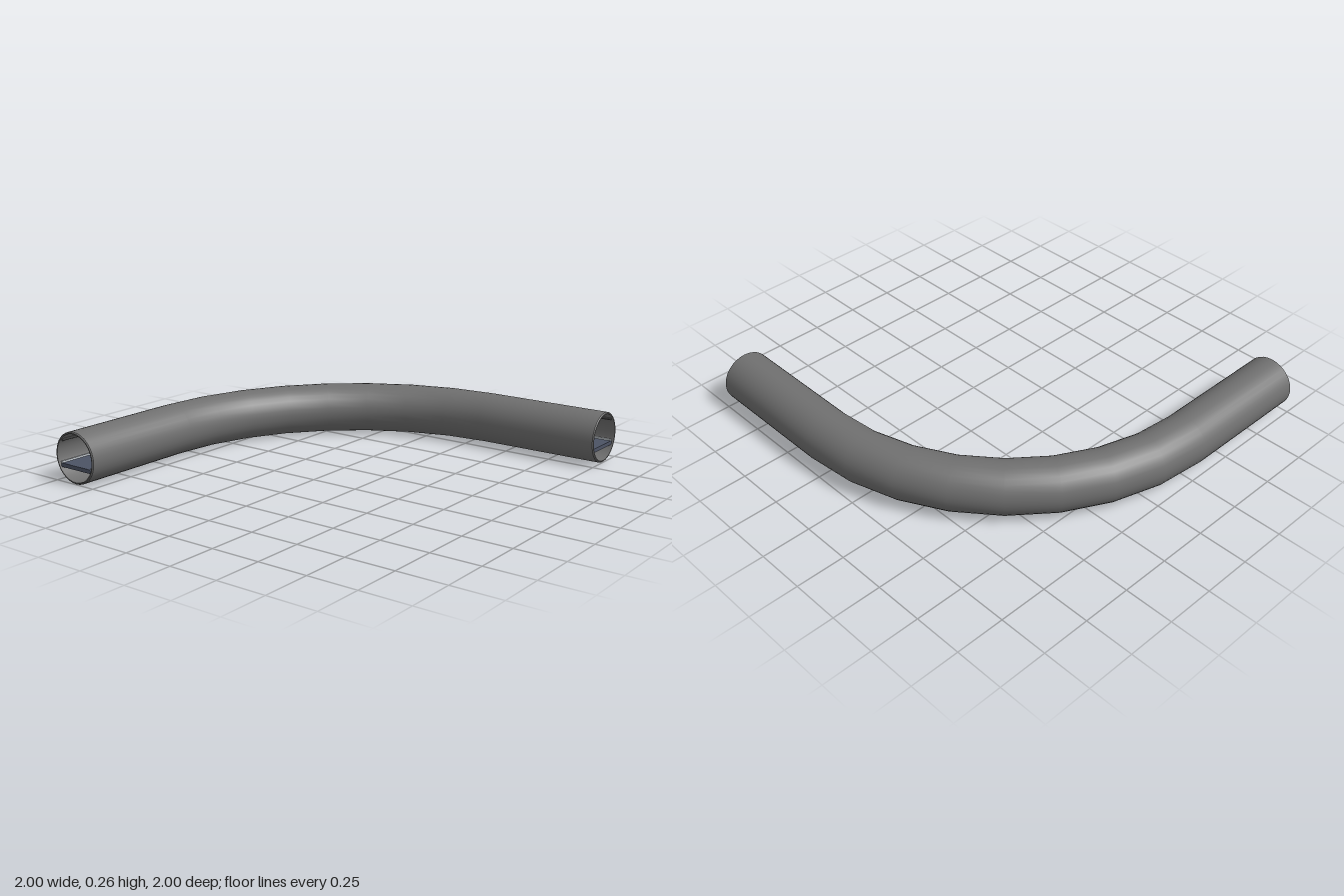
import * as THREE from 'three';
import { toCreasedNormals } from 'three/addons/utils/BufferGeometryUtils.js';

const R = 0.131, INNER = 0.121, MID_Y = 0.132;
const BEND = 0.33;                 // x and z of the bend centre
const BEND_R = BEND + 1 - R;       // centreline radius
const STEPS = 8, SIDES = 32;

// A station is { angle, ahead }: bend angle plus a straight run before (-) or after (+) it.
function stations(inset = 0) {
  const run = 1 - BEND - inset;
  const list = [{ angle: 0, ahead: -run }];
  for (let i = 0; i <= STEPS; i++) list.push({ angle: (i / STEPS) * Math.PI / 2, ahead: 0 });
  list.push({ angle: Math.PI / 2, ahead: run });
  return list;
}

// u is the sideways offset, positive to the outside of the bend
function place({ angle, ahead }, u, y) {
  const c = Math.cos(angle), s = Math.sin(angle), r = BEND_R + u;
  return [BEND - r * c + ahead * s, y, BEND - r * s - ahead * c];
}

const circle = (r, n, u = 0, y = MID_Y) => Array.from({ length: n }, (_, i) => {
  const a = (i / n) * Math.PI * 2;
  return [u + r * Math.cos(a), y + r * Math.sin(a)];
});
const rect = (u0, u1, y0, y1) => [[u0, y0], [u1, y0], [u1, y1], [u0, y1]];

// Skins rows of matching points; rows either close on themselves or get end caps
function skin(rows, closed) {
  const n = rows[0].length, m = rows.length, index = [];
  for (let i = 0; i < (closed ? m : m - 1); i++) {
    for (let j = 0; j < n; j++) {
      const k = (j + 1) % n, h = (i + 1) % m;
      const a = i * n + j, b = i * n + k, c = h * n + k, d = h * n + j;
      index.push(a, b, c, a, c, d);
    }
  }
  if (!closed) {
    const e = (m - 1) * n;
    for (let j = 1; j < n - 1; j++) index.push(0, j + 1, j, e, e + j, e + j + 1);
  }
  const g = new THREE.BufferGeometry();
  g.setAttribute('position', new THREE.Float32BufferAttribute(rows.flat(2), 3));
  g.setIndex(index);
  return toCreasedNormals(g, 0.6);
}

const row = (st, profile) => profile.map(([u, y]) => place(st, u, y));
const sweep = (profile, inset) => skin(stations(inset).map(st => row(st, profile)), false);

// Hollow ring or pipe: outer skin forwards, inner skin backwards
function hollow(list, outer, inner, bevel = 0) {
  const last = list.length - 1;
  const out = list.map(st => row(st, circle(outer, SIDES)));
  const back = list.map(st => row(st, circle(inner, SIDES))).reverse();
  if (bevel) {
    const lip = circle(outer - bevel, SIDES);
    const shift = (st, d) => ({ angle: st.angle, ahead: st.ahead + d });
    out[0] = row(shift(list[0], bevel), circle(outer, SIDES));
    out[last] = row(shift(list[last], -bevel), circle(outer, SIDES));
    out.unshift(row(list[0], lip));
    out.push(row(list[last], lip));
  }
  return skin([...out, ...back], true);
}

export function createModel() {
  const model = new THREE.Group();
  model.name = 'curvedTunnel';
  const shellMat = new THREE.MeshStandardMaterial({ color: 0x707070 });
  const ribMat = new THREE.MeshStandardMaterial({ color: 0x5c5c5c });
  const floorMat = new THREE.MeshStandardMaterial({ color: 0x4c5364 });
  const lightMat = new THREE.MeshStandardMaterial({ color: 0xdde4ea });
  const panelMat = new THREE.MeshStandardMaterial({ color: 0xb5692c });
  const add = (name, geometry, material) => {
    const mesh = new THREE.Mesh(geometry, material);
    mesh.name = name;
    model.add(mesh);
    return mesh;
  };

  // Pipe wall with bevelled rims
  add('shell', hollow(stations(), R, INNER, 0.005), shellMat);

  // Walkway across the lower part of the pipe
  add('floor', sweep(rect(-0.107, 0.107, 0.07, 0.09), 0.01), floorMat);

  // Side rails and floor light strips, mirrored across the pipe
  for (const side of [-1, 1]) {
    add('sideRail', sweep(circle(0.006, 8, side * 0.088, 0.208), 0.01), ribMat);
    const u = side * 0.103;
    add('lightStrip', sweep(rect(u - 0.004, u + 0.004, 0.089, 0.098), 0.01), lightMat);
  }

  // Stiffening hoops inside the wall
  const ends = stations();
  const hoops = [0, Math.PI / 8, Math.PI / 4, Math.PI * 3 / 8, Math.PI / 2];
  for (const angle of hoops) {
    const pair = [-0.008, 0.008].map(ahead => ({ angle, ahead }));
    add('hoop', hollow(pair, INNER + 0.003, INNER - 0.006), ribMat);
  }

  // Small wall panel on the inside of the bend, near the front opening
  const panel = add('wallPanel', new THREE.BoxGeometry(0.02, 0.035, 0.05), panelMat);
  panel.position.set(...place({ angle: 0, ahead: ends[0].ahead * 0.4 }, -0.106, 0.16));

  return model;
}
